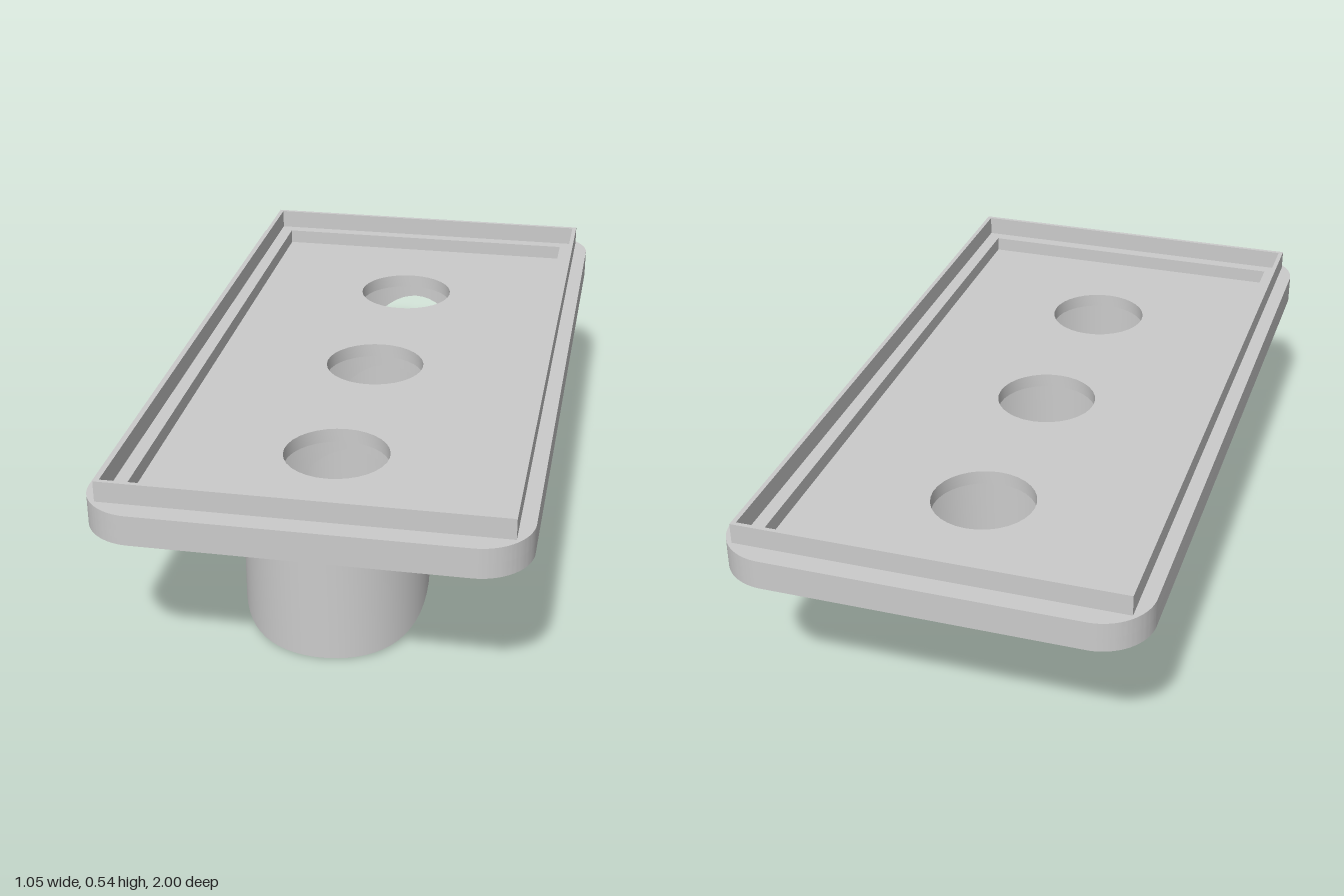
import * as THREE from 'three';
import { toCreasedNormals } from 'three/addons/utils/BufferGeometryUtils.js';

const BASE = 0.413, FLOOR = 0.45, LEDGE = 0.49, TOP = 0.543;
const SPACING = 0.54, HOLE_R = 0.134, TUBE_R = 0.236, BORE_R = 0.212;

const material = new THREE.MeshStandardMaterial({ color: 0xcccccc });

// Rectangle outline with half sizes w, d and optional corner radius
function rect(w, d, r = 0, Type = THREE.Shape) {
  const s = new Type();
  if (!r) {
    return s.moveTo(-w, -d).lineTo(w, -d).lineTo(w, d).lineTo(-w, d).lineTo(-w, -d);
  }
  s.absarc(w - r, -d + r, r, -Math.PI / 2, 0);
  s.absarc(w - r, d - r, r, 0, Math.PI / 2);
  s.absarc(-w + r, d - r, r, Math.PI / 2, Math.PI);
  s.absarc(-w + r, -d + r, r, Math.PI, Math.PI * 1.5);
  s.closePath();
  return s;
}

// Flat slab between two heights
function slab(name, shape, holes, y0, y1) {
  shape.holes.push(...holes);
  const g = new THREE.ExtrudeGeometry(shape, { depth: y1 - y0, bevelEnabled: false, curveSegments: 16 });
  g.rotateX(-Math.PI / 2).translate(0, y0, 0);
  const mesh = new THREE.Mesh(toCreasedNormals(g, 0.5), material);
  mesh.name = name;
  return mesh;
}

// Tube whose lower end is cut away in a curve rising towards the back
function spout() {
  const profile = [[BORE_R, BASE], [BORE_R, 0], [TUBE_R, 0], [TUBE_R, BASE]]
    .map(([x, y]) => new THREE.Vector2(x, y));
  const g = new THREE.LatheGeometry(profile, 64);
  const p = g.attributes.position;
  for (let i = 0; i < p.count; i++) {
    if (p.getY(i) > 0.01) continue;
    const u = TUBE_R - p.getZ(i);
    p.setY(i, 0.03 * u + 1.68 * u * u);
  }
  return toCreasedNormals(g, 0.6);
}

export function createModel() {
  const model = new THREE.Group();
  model.name = 'ventPlate';
  const centres = [-SPACING, 0, SPACING];

  // Plate floor with three round openings
  const openings = centres.map(z => new THREE.Path().absarc(0, z, HOLE_R, 0, Math.PI * 2, true));
  model.add(slab('plateFloor', rect(0.525, 1, 0.13), openings, BASE, FLOOR));

  // Raised border around the recess, then the thin upright lip
  model.add(slab('plateBorder', rect(0.525, 1, 0.13), [rect(0.44, 0.902, 0, THREE.Path)], FLOOR, LEDGE));
  model.add(slab('lip', rect(0.487, 0.947), [rect(0.475, 0.936, 0, THREE.Path)], LEDGE, TOP));

  // Spouts under the openings
  const geometry = spout();
  centres.forEach((z, i) => {
    const mesh = new THREE.Mesh(geometry, material);
    mesh.name = `spout${i + 1}`;
    mesh.position.z = z;
    model.add(mesh);
  });
  return model;
}
